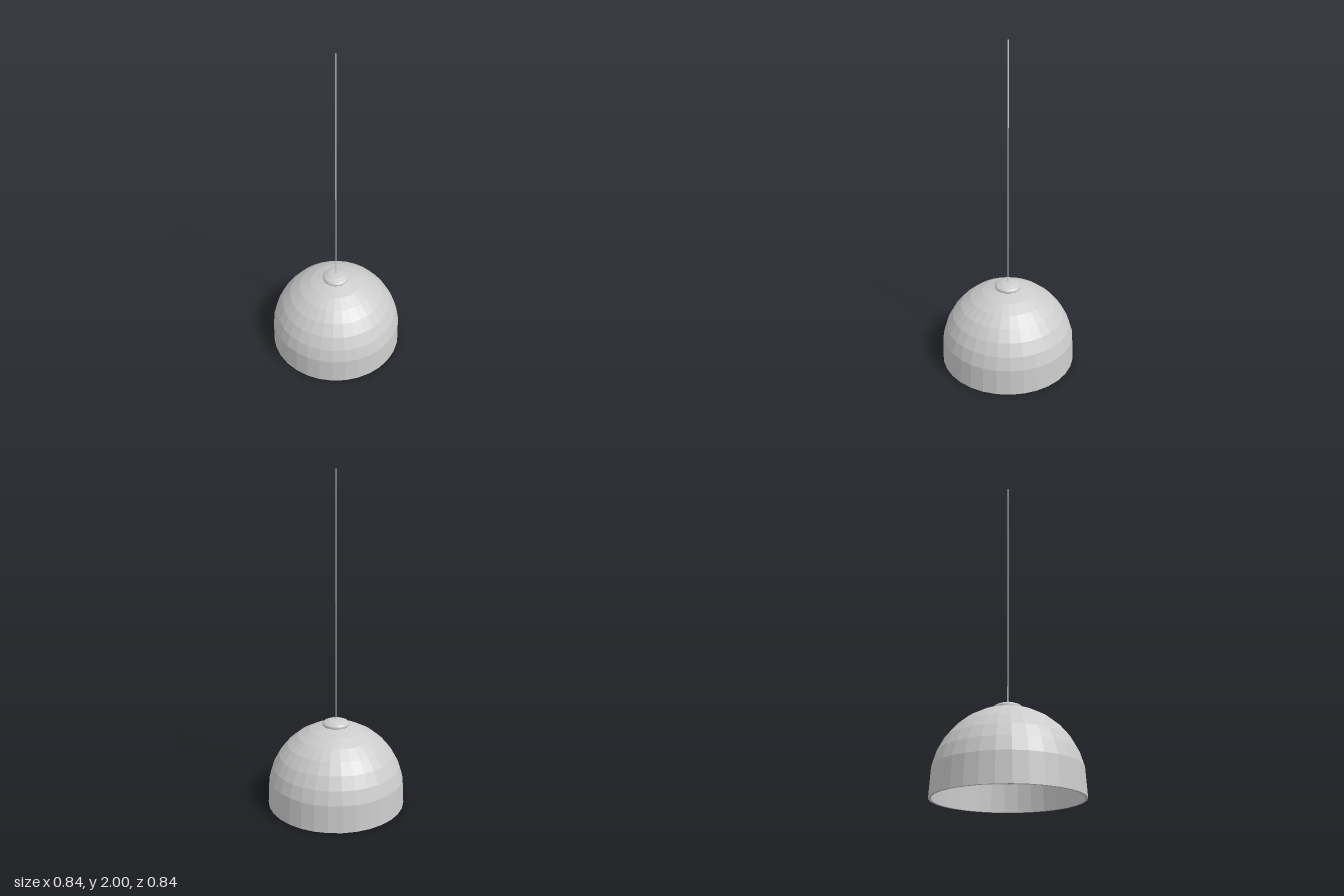
import * as THREE from 'three';

const SIDES = 32;
const material = new THREE.MeshStandardMaterial({ color: 0xcccccc, flatShading: true });

function lathe(name, profile) {
  const points = profile.map(([r, y]) => new THREE.Vector2(r, y));
  const mesh = new THREE.Mesh(new THREE.LatheGeometry(points, SIDES), material);
  mesh.name = name;
  return mesh;
}

// Hemisphere profile from rim to apex, with its lowest band stretched down to the floor
function domeProfile(radius) {
  const centreY = 0.08, bands = 8;
  const profile = [[radius, 0]];
  for (let i = 1; i <= bands; i++) {
    const a = (i / bands) * Math.PI / 2;
    profile.push([i === bands ? 0 : radius * Math.cos(a), centreY + radius * Math.sin(a)]);
  }
  return profile;
}

export function createModel() {
  const lamp = new THREE.Group();
  lamp.name = 'pendantLamp';

  // Hollow shade: down the inside, across the rim, up the outside
  lamp.add(lathe('shade', [...domeProfile(0.405).reverse(), ...domeProfile(0.42)]));

  // Low rounded cap where the cord enters
  lamp.add(lathe('cap', [
    [0, 0.485], [0.076, 0.488], [0.082, 0.495], [0.082, 0.505],
    [0.074, 0.514], [0.045, 0.526], [0, 0.532],
  ]));

  // Thin hanging cord
  const bottom = 0.52, top = 2;
  const cord = new THREE.Mesh(new THREE.CylinderGeometry(0.004, 0.004, top - bottom, 12), material);
  cord.name = 'cord';
  cord.position.y = (top + bottom) / 2;
  lamp.add(cord);

  return lamp;
}
